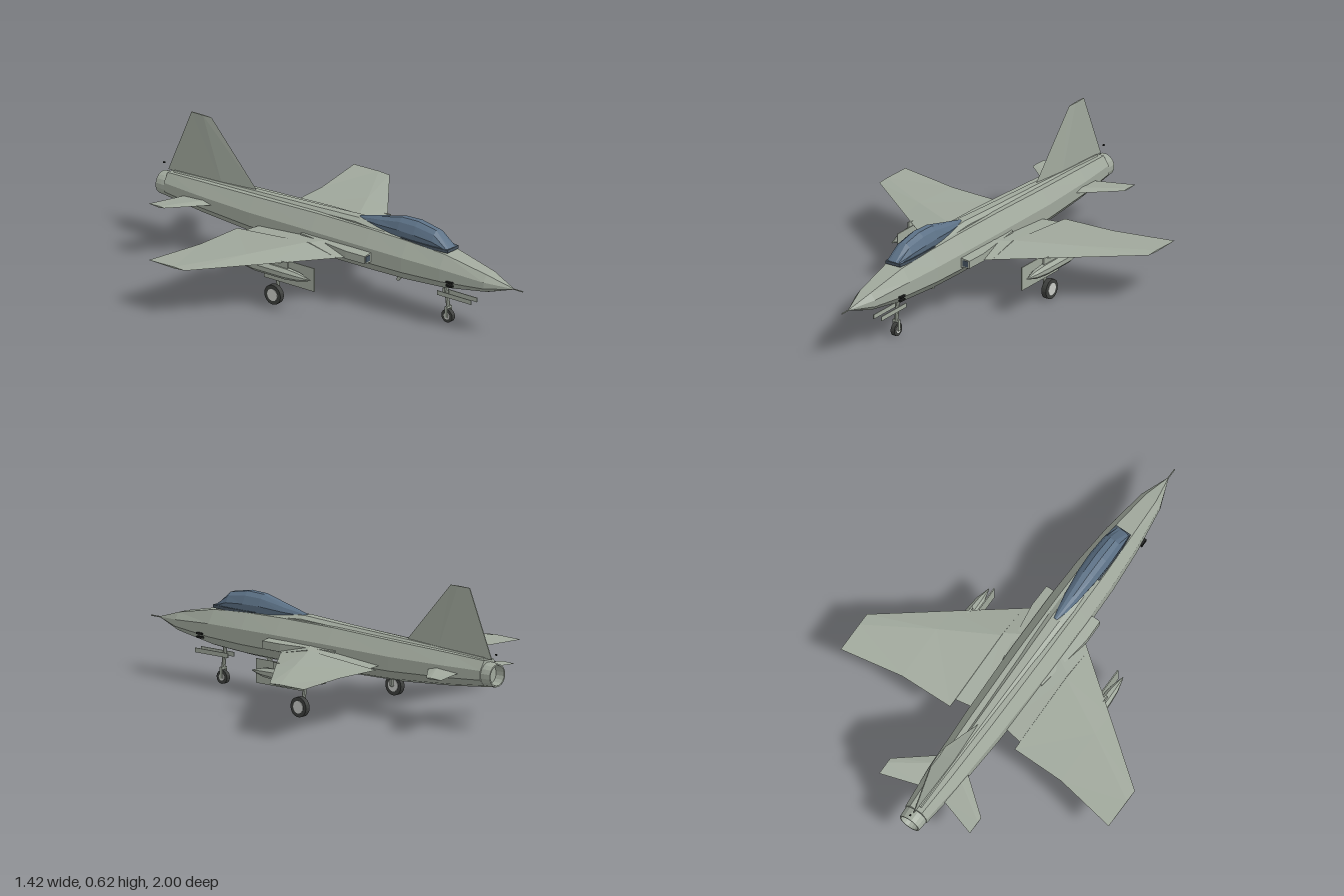
import * as THREE from 'three';

const mat = (name, color, side = THREE.FrontSide) => {
  const m = new THREE.MeshStandardMaterial({ color, flatShading: true, side });
  m.name = name;
  return m;
};

// Skin a list of closed rings, cap both ends, and turn all faces outward
function loft(rings) {
  const tris = [];
  const n = rings[0].length;
  for (let i = 0; i < rings.length - 1; i++) {
    for (let j = 0; j < n; j++) {
      const k = (j + 1) % n;
      const a = rings[i][j], b = rings[i][k], c = rings[i + 1][k], d = rings[i + 1][j];
      tris.push([a, d, b], [b, d, c]);
    }
  }
  const first = rings[0], last = rings[rings.length - 1];
  for (let j = 1; j < n - 1; j++) {
    tris.push([first[0], first[j], first[j + 1]], [last[0], last[j + 1], last[j]]);
  }
  const V = p => new THREE.Vector3(...p);
  let volume = 0;
  for (const [a, b, c] of tris) volume += V(a).dot(V(b).cross(V(c)));
  const pos = [];
  for (const [a, b, c] of tris) pos.push(...a, ...(volume < 0 ? c : b), ...(volume < 0 ? b : c));
  const g = new THREE.BufferGeometry();
  g.setAttribute('position', new THREE.Float32BufferAttribute(pos, 3));
  g.computeVertexNormals();
  return g;
}

// Round body along z from [z, radius] stations
const turned = (x, y, stations, sides = 8) => loft(stations.map(([z, r]) =>
  Array.from({ length: sides }, (_, i) => {
    const a = (i + 0.5) / sides * Math.PI * 2;
    return [x + Math.cos(a) * r, y + Math.sin(a) * r, z];
  })));

// Box between two corners
function block(x0, x1, y0, y1, z0, z1) {
  return new THREE.BoxGeometry(Math.abs(x1 - x0), y1 - y0, Math.abs(z1 - z0))
    .translate((x0 + x1) / 2, (y0 + y1) / 2, (z0 + z1) / 2);
}

// Round rod between two points
function rod(a, b, r, sides = 8) {
  const A = new THREE.Vector3(...a), B = new THREE.Vector3(...b);
  const dir = B.clone().sub(A);
  const g = new THREE.CylinderGeometry(r, r, dir.length(), sides);
  g.applyQuaternion(new THREE.Quaternion().setFromUnitVectors(new THREE.Vector3(0, 1, 0), dir.normalize()));
  return g.translate(...A.add(B).multiplyScalar(0.5).toArray());
}

// Four-point wing section: [x, leading z, trailing z, bottom y, top y]
const foil = s => ([x, le, te, yb, yt]) => {
  const mid = le + (te - le) * 0.3;
  return [[x * s, yb + 0.004, le], [x * s, yt, mid], [x * s, yb + 0.004, te], [x * s, yb, mid]];
};

export function createModel() {
  const model = new THREE.Group();
  model.name = 'jetFighter';
  const paint = mat('greyGreenPaint', 0xa0a89c);
  const glass = mat('canopyGlass', 0x5c7186);
  const frame = mat('canopyFrame', 0x46535f);
  const rubber = mat('tyreRubber', 0x3c3e3c);
  const hub = mat('wheelHub', 0xc8cac6);
  const black = mat('gunBlack', 0x1e201e);

  const add = (name, geometry, material = paint, parent = model) => {
    const m = new THREE.Mesh(geometry, material);
    m.name = name;
    parent.add(m);
    return m;
  };

  // Faceted fuselage: z, bottom, top, half width
  const hull = [
    [0.95, 0.243, 0.247, 0.002], [0.82, 0.2, 0.288, 0.05], [0.6, 0.162, 0.333, 0.08],
    [0.4, 0.15, 0.347, 0.095], [0.2, 0.147, 0.352, 0.1], [-0.1, 0.147, 0.35, 0.099],
    [-0.45, 0.153, 0.338, 0.09], [-0.75, 0.175, 0.328, 0.075], [-0.95, 0.197, 0.318, 0.056],
  ];
  add('fuselage', loft(hull.map(([z, b, t, w]) => {
    const h = t - b;
    const half = [[w * 0.6, b + h * 0.1], [w, b + h * 0.32], [w, b + h * 0.66], [w * 0.55, t]];
    const other = half.map(([x, y]) => [-x, y]).reverse();
    return [[0, b], ...half, ...other].map(([x, y]) => [x, y, z]);
  })));
  add('noseProbe', rod([0, 0.245, 0.94], [0, 0.245, 1], 0.003, 6));

  // Raised spine behind the cockpit
  const spine = [[0.34, 0.355, 0.045], [0.1, 0.372, 0.04], [-0.13, 0.361, 0.034], [-0.5, 0.346, 0.026], [-0.93, 0.325, 0.02]];
  add('spine', loft(spine.map(([z, t, w]) =>
    [[w, t - 0.035, z], [w, t - 0.014, z], [w * 0.5, t, z], [-w * 0.5, t, z], [-w, t - 0.014, z], [-w, t - 0.035, z]])));

  // Canopy: z, base, top, half width
  const glazing = [[0.61, 0.343, 0.35, 0.036], [0.53, 0.343, 0.416, 0.046], [0.43, 0.345, 0.434, 0.05],
    [0.34, 0.348, 0.431, 0.047], [0.22, 0.352, 0.402, 0.034], [0.1, 0.358, 0.375, 0.012]];
  add('canopy', loft(glazing.map(([z, b, t, w]) => {
    const h = t - b;
    return [[w * 0.85, b, z], [w, b + h * 0.4, z], [w * 0.7, b + h * 0.8, z], [w * 0.28, t, z],
      [-w * 0.28, t, z], [-w * 0.7, b + h * 0.8, z], [-w, b + h * 0.4, z], [-w * 0.85, b, z]];
  })), glass);
  add('canopySill', loft([[0.612, 0.038], [0.53, 0.047], [0.36, 0.049]].map(([z, w]) =>
    [[w, 0.338, z], [w, 0.352, z], [-w, 0.352, z], [-w, 0.338, z]])), frame);

  // Tail fin, lens-shaped in plan
  add('tailFin', loft([[0.32, -0.456, -0.968, 0.01], [0.62, -0.73, -0.84, 0.004]].map(([y, le, te, t]) => {
    const mid = le + (te - le) * 0.4;
    return [[0, y, le], [t, y, mid], [0.002, y, te], [-0.002, y, te], [-t, y, mid]];
  })));
  add('tailLight', new THREE.BoxGeometry(0.006, 0.006, 0.008).translate(0, 0.345, -0.993), black);

  // Hollow exhaust nozzle
  add('exhaustNozzle', turned(0, 0.254, [[-0.92, 0.056], [-0.97, 0.054], [-1, 0.051], [-1, 0.045], [-0.956, 0.042]], 16));
  add('bellyAntenna', loft([[0.155, 0.34, 0.305], [0.123, 0.312, 0.3]].map(([y, f, r]) =>
    [[0.003, y, f], [-0.003, y, f], [-0.003, y, r], [0.003, y, r]])));

  for (const s of [1, -1]) {
    const side = new THREE.Group();
    side.name = s > 0 ? 'leftSide' : 'rightSide';
    model.add(side);
    const put = (name, geometry, material = paint) => add(name, geometry, material, side);

    // Main wing with the stepped trailing edge, and the tailplane
    put('wing', loft([
      [0.07, 0.182, -0.392, 0.224, 0.266], [0.17, 0.105, -0.41, 0.225, 0.262],
      [0.171, 0.104, -0.45, 0.225, 0.262], [0.42, -0.087, -0.455, 0.228, 0.25],
      [0.709, -0.31, -0.508, 0.231, 0.238],
    ].map(foil(s))));
    put('tailplane', loft([[0.05, -0.645, -0.825, 0.246, 0.262], [0.24, -0.8, -0.886, 0.25, 0.257]].map(foil(s))));

    // Air intake, open-mouthed dark face at the front
    put('airIntake', loft([[0.235, 0.142], [0.13, 0.144], [-0.15, 0.105]].map(([z, x]) =>
      [[s * 0.08, 0.22, z], [s * x, 0.225, z], [s * x, 0.26, z], [s * 0.08, 0.268, z]])));
    put('intakeMouth', block(s * 0.108, s * 0.136, 0.23, 0.257, 0.233, 0.237), frame);

    // Nose gun ports
    for (const y of [0.208, 0.224]) put('gunPort', block(s * 0.07, s * 0.082, y - 0.004, y + 0.004, 0.635, 0.67), black);

    // Underwing store on its pylon
    put('underwingTank', turned(s * 0.355, 0.182, [[0.105, 0.002], [0.04, 0.02], [-0.03, 0.027], [-0.2, 0.027], [-0.27, 0.016], [-0.32, 0.003]]));
    put('pylon', block(s * 0.351, s * 0.359, 0.195, 0.235, -0.02, -0.25));

    // Main landing gear
    put('mainGearDoor', block(s * 0.325, s * 0.33, 0.122, 0.23, 0.105, -0.172));
    put('mainGearStrut', rod([s * 0.267, 0.235, -0.133], [s * 0.289, 0.045, -0.133], 0.009));
    put('mainGearBrace', rod([s * 0.278, 0.235, -0.07], [s * 0.281, 0.12, -0.133], 0.005));
    put('mainAxle', rod([s * 0.284, 0.045, -0.133], [s * 0.31, 0.045, -0.133], 0.006));
    put('mainTyre', rod([s * 0.298, 0.045, -0.133], [s * 0.322, 0.045, -0.133], 0.045, 18), rubber);
    put('mainHub', rod([s * 0.296, 0.045, -0.133], [s * 0.324, 0.045, -0.133], 0.028, 16), hub);

    // Nose gear doors and fork
    put('noseGearDoor', block(s * 0.018, s * 0.022, 0.122, 0.142, 0.54, 0.73));
    put('noseFork', block(s * 0.012, s * 0.016, 0.025, 0.075, 0.578, 0.592));
  }

  // Nose landing gear
  add('noseStrut', rod([0, 0.18, 0.572], [0, 0.07, 0.585], 0.009));
  add('noseForkTop', block(-0.016, 0.016, 0.065, 0.075, 0.578, 0.592));
  add('noseTyre', rod([-0.01, 0.03, 0.585], [0.01, 0.03, 0.585], 0.03, 16), rubber);
  add('noseHub', rod([-0.012, 0.03, 0.585], [0.012, 0.03, 0.585], 0.016, 14), hub);

  return model;
}
